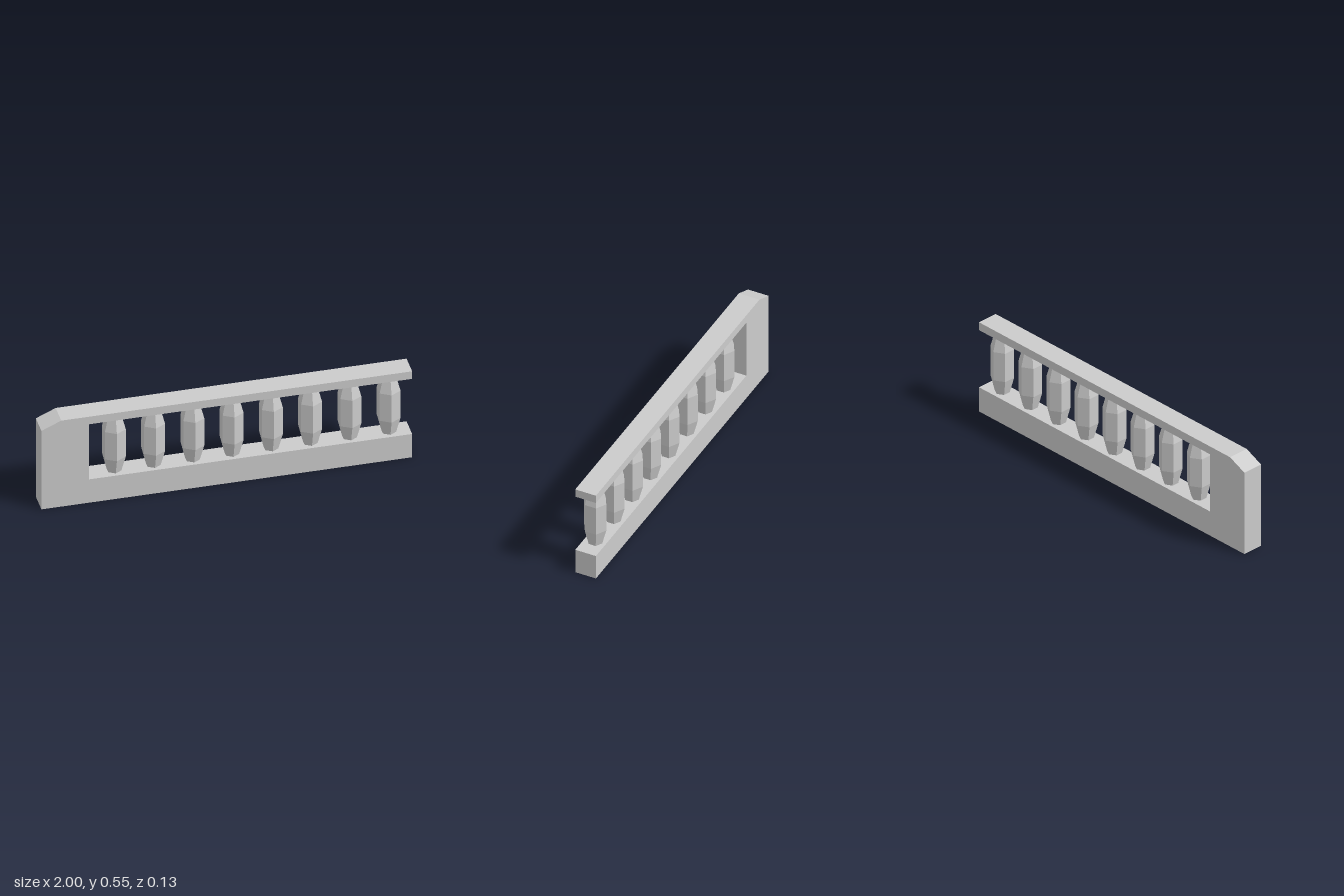
import * as THREE from 'three';

export function createModel() {
  const model = new THREE.Group();
  model.name = 'balustrade';
  const material = new THREE.MeshStandardMaterial({ color: 0xcccccc, flatShading: true });

  const baseTop = 0.148, railBottom = 0.498, railTop = 0.546, depth = 0.121;

  // Base, end post and handrail as one C-shaped outline, with a sloped corner on the post
  const outline = new THREE.Shape([
    [-1, 0], [1, 0], [1, baseTop], [-0.742, baseTop], [-0.742, railBottom],
    [1, railBottom], [1, railTop], [-0.893, railTop], [-1, railBottom],
  ].map(([x, y]) => new THREE.Vector2(x, y)));
  const frameGeometry = new THREE.ExtrudeGeometry(outline, { depth, bevelEnabled: false });
  frameGeometry.translate(0, 0, -depth / 2);
  const frame = new THREE.Mesh(frameGeometry, material);
  frame.name = 'frame';
  model.add(frame);

  // Six-sided balusters, tapered at both ends
  const profile = [[0.041, baseTop], [0.065, 0.241], [0.065, 0.414], [0.042, railBottom]]
    .map(([r, y]) => new THREE.Vector2(r, y));
  const balusterGeometry = new THREE.LatheGeometry(profile, 6);
  const balusters = new THREE.Group();
  balusters.name = 'balusters';
  for (let i = 0; i < 8; i++) {
    const baluster = new THREE.Mesh(balusterGeometry, material);
    baluster.name = `baluster${i + 1}`;
    baluster.position.x = -0.594 + i * 0.2117;
    balusters.add(baluster);
  }
  model.add(balusters);

  return model;
}
